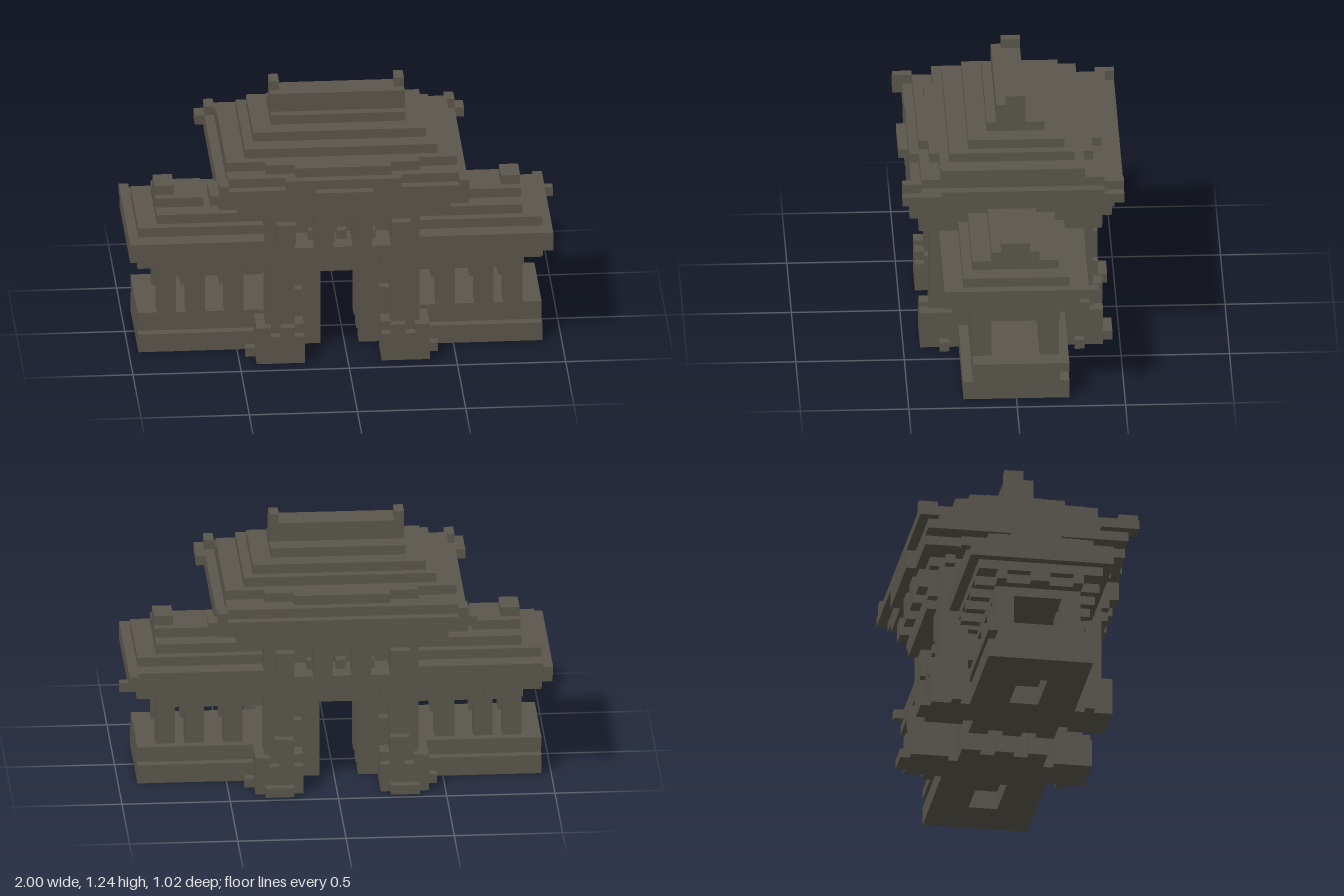
import * as THREE from 'three';

// A block-built gatehouse with two side pavilions, laid out on a cubic grid.
const U = 2 / 45;      // edge of one block
const CX = -U / 2;     // mirror plane of the building

export function createModel() {
  const root = new THREE.Group();
  root.name = 'gatehouse';
  const stone = new THREE.MeshStandardMaterial({ color: 0x5b574d });
  stone.name = 'weathered stone';

  // One box given by its limits in blocks, x measured from the mirror plane
  function box(name, x0, x1, y0, y1, z0, z1) {
    const m = new THREE.Mesh(new THREE.BoxGeometry((x1 - x0) * U, (y1 - y0) * U, (z1 - z0) * U), stone);
    m.position.set(CX + (x0 + x1) / 2 * U, (y0 + y1) / 2 * U, (z0 + z1) / 2 * U);
    m.name = name;
    root.add(m);
  }
  // Mirrored left and right
  function pair(name, x0, x1, y0, y1, z0, z1) {
    box(name, x0, x1, y0, y1, z0, z1);
    box(name, -x1, -x0, y0, y1, z0, z1);
  }
  // Mirrored left, right, front and back
  function quad(name, x0, x1, y0, y1, z0, z1) {
    pair(name, x0, x1, y0, y1, z0, z1);
    pair(name, x0, x1, y0, y1, -z1, -z0);
  }
  // Mirrored front and back
  function frontBack(name, x0, x1, y0, y1, z0, z1) {
    box(name, x0, x1, y0, y1, z0, z1);
    box(name, x0, x1, y0, y1, -z1, -z0);
  }

  // Passage walls with ribs
  pair('passageWall', 3, 7, 0, 9, -4.5, 4.5);
  pair('passageFoot', 5, 8, 0, 4, -5.5, 5.5);
  quad('passageRib', 2, 3, 0, 9, 2.5, 4.5);
  pair('passageMiddleRib', 2, 3, 0, 9, -1, 1);

  // Gate piers and plinths
  quad('gatePier', 5, 8, 0, 14, 5.5, 8.5);
  quad('gateJamb', 4, 5, 0, 7, 5.5, 6.5);
  quad('pierBracket', 4, 5, 9, 13, 5.5, 8.5);
  pair('frontPierInfill', 5, 7, 0, 9, 4.5, 5.5);
  pair('backPierInfill', 5, 7, 6, 9, -5.5, -4.5);
  quad('pierPlinth', 4, 9, 0, 3, 5.5, 9.5);
  for (const x of [5, 7.5]) quad('plinthCrenel', x, x + 1.5, 3, 4, 5.5, 9.5);
  quad('plinthBlock', 4, 5, 3, 4, 5.5, 8.5);
  pair('backPierBuffer', 5, 7, 4, 6, -9.5, -8.5);
  pair('backStep', 5, 8, 0, 1, -10.5, -9.5);
  quad('plinthStud', 9, 10, 0, 1, 6.5, 7.5);

  // Upper hall, lintels and panels
  box('hallCore', -8, 8, 9, 17, -5.5, 5.5);
  frontBack('gateLintel', -5, 5, 9, 11, 5.5, 6.5);
  frontBack('gateBeam', -6, 6, 12, 13, 5.5, 9.5);
  frontBack('upperBeam', -8, 8, 14, 17, 5.5, 6.5);
  quad('pierHead', 5, 8, 14, 17, 6.5, 8.5);
  for (const x of [-3, 0, 3]) frontBack('lintelPost', x - 0.5, x + 0.5, 11, 14, 5.5, 7.5);

  // Stepped brackets beneath the main eaves
  for (const x of [2, 6]) {
    quad('bracketFoot', x - 1, x + 1, 13, 14, 6.5, 9.5);
    quad('bracketArm', x - 1, x + 1, 14, 16, 6.5, 10.5);
  }
  quad('innerBracketHead', 1, 3, 16, 17, 6.5, 10.5);
  quad('outerBracketHead', 5, 8, 16, 17, 6.5, 9.5);
  for (const z of [0, 3.5, 7]) quad('sideBracket', 8, 9, 16, 17, z, z + 1);

  // Main roof: [half width, back, front, bottom, top] of each course
  const mainRoof = [
    [11, -10.5, 10.5, 17, 18], [13, -10.5, 10.5, 18, 20], [12, -10.5, 9.5, 20, 21],
    [12, -7.5, 7.5, 21, 22], [8, -8.5, 8.5, 21, 22], [5, -9.5, 9.5, 21, 22],
    [10, -6.5, 6.5, 22, 23], [9, -5.5, 4.5, 23, 24], [7, -3.5, 2.5, 24, 25],
    [7, -1.5, 1.5, 25, 27],
  ];
  for (const [w, back, front, a, b] of mainRoof) box('mainRoofCourse', -w, w, a, b, back, front);
  box('backEave', -14, 14, 19, 20, -11.5, -10.5);
  box('backEaveDrop', -5, 5, 17, 19, -11.5, -10.5);
  box('frontEaveTab', -3, 3, 19, 20, 10.5, 11.5);
  box('frontEaveStep', -6, 6, 20, 21, 9.5, 10.5);
  pair('frontCornerTip', 12, 14, 19, 20, 7.5, 11.5);
  pair('backCornerTip', 12, 14, 19, 20, -11.5, -9.5);
  quad('eaveCornerCap', 12, 13, 20, 21, 9.5, 11.5);
  box('ridgeCap', -6, 6, 26, 27, -1.5, 0.5);
  pair('ridgeFinial', 6, 7, 27, 28, -1.5, 0.5);

  // Pavilion bases, recessed below, stepped in front and grooved behind
  pair('wingBaseInnerEnd', 8, 10, 0, 2, -5.5, 5.5);
  pair('wingBaseOuterEnd', 16, 21, 0, 2, -5.5, 5.5);
  quad('wingBaseSide', 10, 16, 0, 2, 1.5, 5.5);
  pair('wingBaseUpper', 8, 21, 2, 4, -4.5, 4.5);
  pair('wingBaseLip', 8, 21, 3, 4, -5.5, -4.5);

  // Pavilion columns and beams
  for (const x of [10, 14, 17]) quad('wingColumn', x, x + 2, 4, 8, 2.5, 4.5);
  pair('wingBeam', 8, 19, 8, 9, -4.5, 4.5);
  pair('wingCeiling', 8, 20, 9, 10, -4.5, 4.5);

  // Bracket teeth beneath the pavilion eaves
  for (let x = 9; x < 20; x += 3) quad('wingBracket', x, x + 1, 9, 10, 4.5, 6.5);
  for (const z of [0, 3.5]) quad('wingEndBracket', 20, 21, 9, 10, z, z + 1);

  // Pavilion roofs: [half width, half depth, bottom, top]
  const wingRoof = [
    [21, 6.5, 10, 11], [21, 7.5, 11, 12], [22, 6.5, 11, 12], [22, 7.5, 12, 13],
    [21, 5.5, 13, 14], [19, 4.5, 14, 15],
  ];
  for (const [w, d, a, b] of wingRoof) pair('wingRoofCourse', 8, w, a, b, -d, d);
  box('leftWingRidge', 8, 19, 15, 16, -2.5, 2.5);
  for (const [x0, x1] of [[-19, -14], [-12, -9]]) box('rightWingRidge', x0, x1, 15, 16, -2.5, 2.5);
  pair('wingFinial', 17, 19, 16, 17, -1.5, 1.5);
  quad('wingCornerTip', 20, 22, 11, 12, 5.5, 7.5);
  pair('wingBackTip', 21, 22, 12, 13, -8.5, -7.5);
  box('eaveNub', 22, 23, 11, 12, -7.5, -6.5);

  return root;
}
